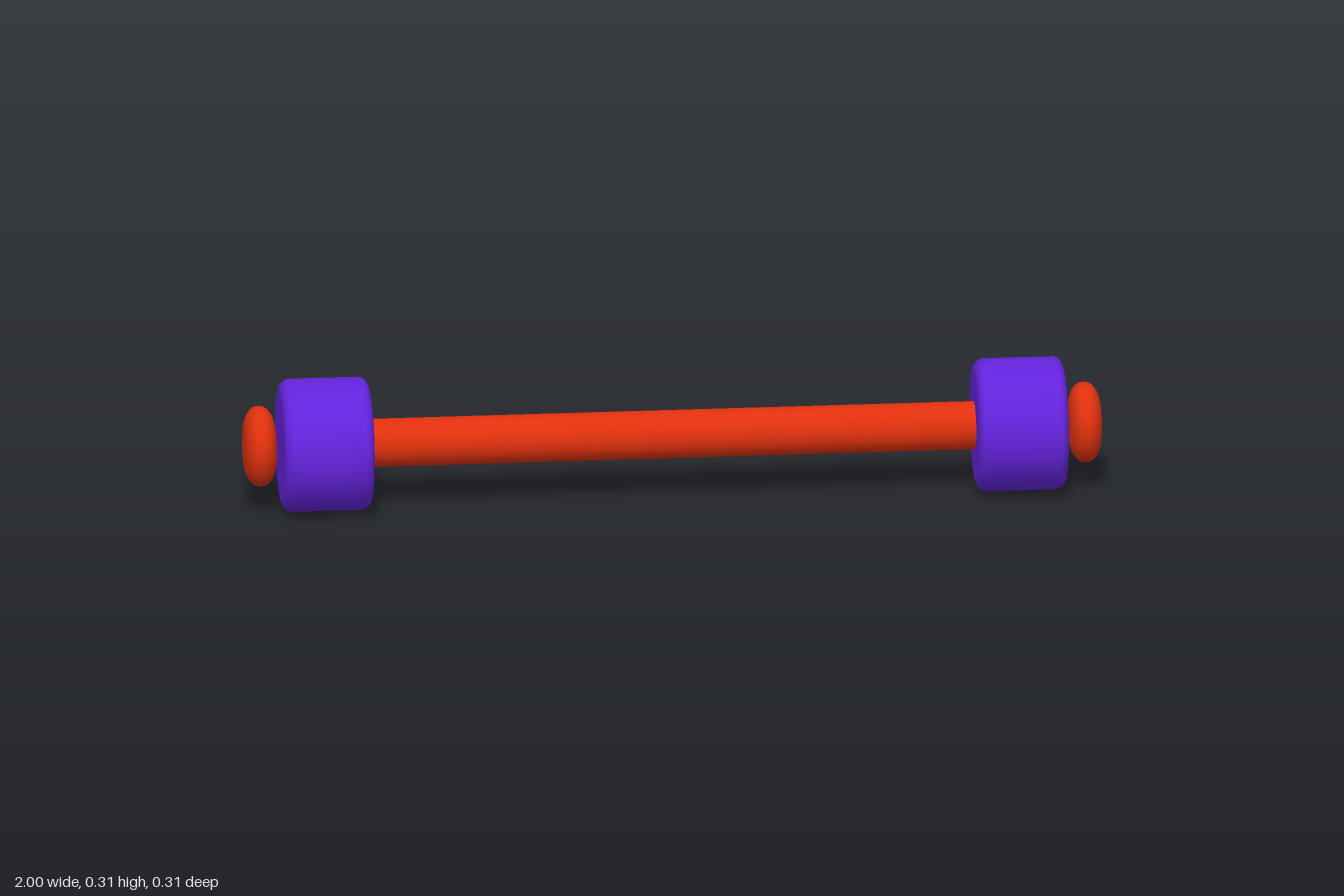
import * as THREE from 'three';

const AXIS_Y = 0.156;

// Lathe a [distance along x, radius] profile around the x axis
function turned(name, profile, sides, material) {
  const points = profile.map(([x, r]) => new THREE.Vector2(r, x));
  const geometry = new THREE.LatheGeometry(points, sides);
  geometry.rotateZ(-Math.PI / 2);
  const mesh = new THREE.Mesh(geometry, material);
  mesh.name = name;
  return mesh;
}

// Profile of a disc with softly rounded rims: bx and br are the rim's width and depth
function roundedDisc(x0, x1, radius, bx, br, steps) {
  const profile = [[x0, 0]];
  for (let i = 0; i <= steps; i++) {
    const a = (i / steps) * Math.PI / 2;
    profile.push([x0 + bx * (1 - Math.cos(a)), radius - br * (1 - Math.sin(a))]);
  }
  for (let i = steps; i >= 0; i--) {
    const a = (i / steps) * Math.PI / 2;
    profile.push([x1 - bx * (1 - Math.cos(a)), radius - br * (1 - Math.sin(a))]);
  }
  profile.push([x1, 0]);
  return profile;
}

export function createModel() {
  const red = new THREE.MeshStandardMaterial({ color: 0xe0310e });
  red.name = 'red';
  const purple = new THREE.MeshStandardMaterial({ color: 0x6423dc });
  purple.name = 'purple';

  const model = new THREE.Group();
  model.name = 'barbell';

  // Long bar running between the two weights
  const bar = new THREE.Mesh(new THREE.CylinderGeometry(0.056, 0.056, 1.6, 20), red);
  bar.name = 'bar';
  bar.rotation.z = -Math.PI / 2;
  bar.position.y = AXIS_Y;
  model.add(bar);

  // Weight and domed end cap, repeated at each end
  for (const side of ['left', 'right']) {
    const end = new THREE.Group();
    end.name = side + 'End';
    end.position.y = AXIS_Y;
    if (side === 'right') end.rotation.y = Math.PI;
    end.add(
      turned('weight', roundedDisc(0.705, 0.915, 0.155, 0.024, 0.03, 5), 24, purple),
      turned('endCap', roundedDisc(0.925, 1.0, 0.094, 0.034, 0.06, 6), 16, red),
    );
    model.add(end);
  }
  return model;
}
